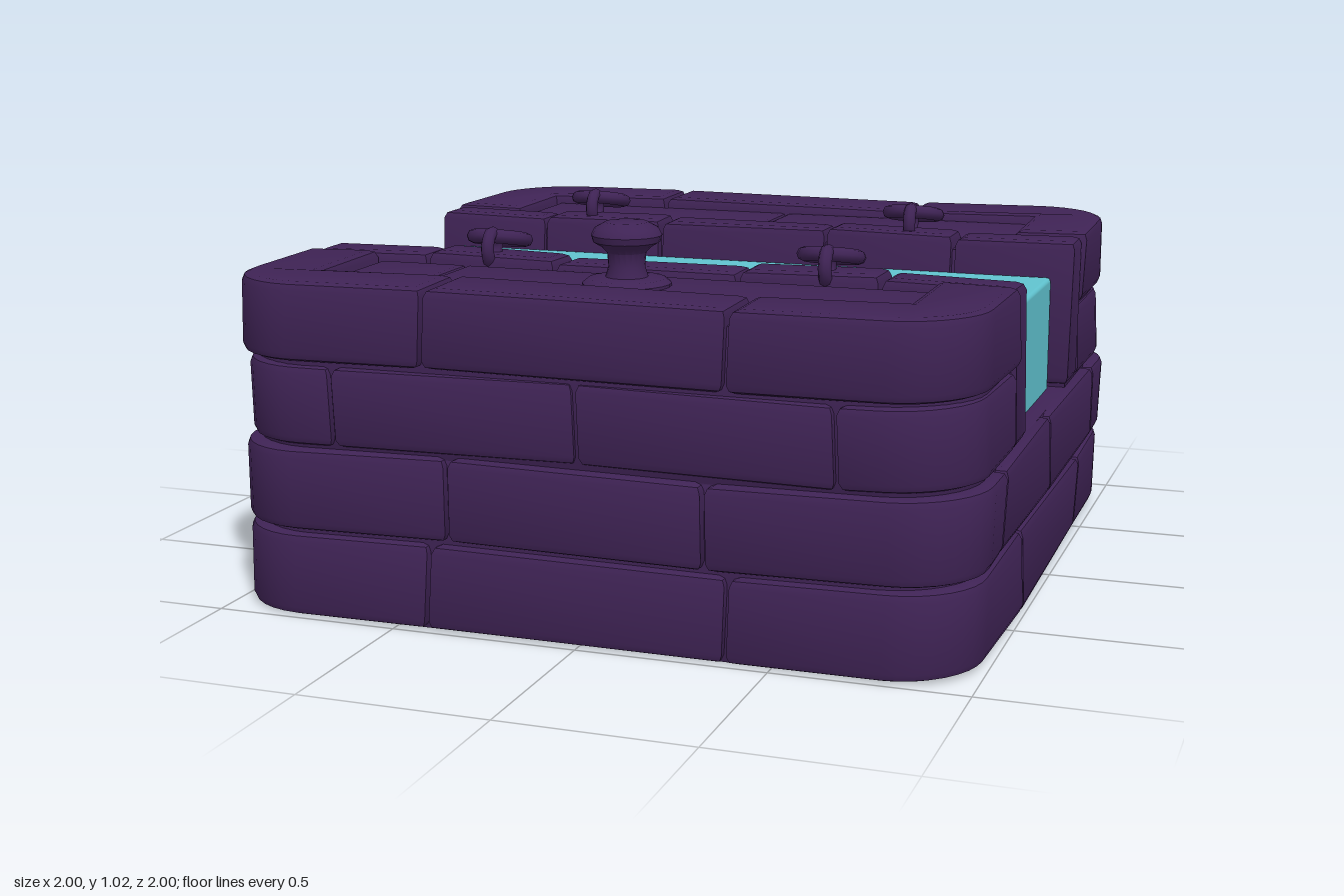
import * as THREE from 'three';
import { toCreasedNormals } from 'three/addons/utils/BufferGeometryUtils.js';
import { RoundedBoxGeometry } from 'three/addons/geometries/RoundedBoxGeometry.js';

const stone = new THREE.MeshStandardMaterial({ color: 0x3f2355 });
stone.name = 'purple stone';
const water = new THREE.MeshStandardMaterial({ color: 0x60c3cf });
water.name = 'turquoise water';

const GAP = 0.006;   // half of a joint between stones
const THICK = 0.21;  // depth of the outer stones

function add(parent, name, geometry, material = stone) {
  const mesh = new THREE.Mesh(geometry, material);
  mesh.name = name;
  parent.add(mesh);
  return mesh;
}

// Bevelled stone from a plan outline of [x, z] points, with slightly uneven faces
function slab(points, y0, y1, bevel = 0.022, uneven = 0.006) {
  const shape = new THREE.Shape(points.map(([x, z]) => new THREE.Vector2(x, -z)));
  const geometry = new THREE.ExtrudeGeometry(shape, {
    depth: y1 - y0 - 2 * bevel, bevelEnabled: bevel > 0, bevelThickness: bevel,
    bevelSize: bevel, bevelOffset: -bevel, bevelSegments: 2,
  });
  geometry.rotateX(-Math.PI / 2).translate(0, y0 + bevel, 0);
  const p = geometry.attributes.position;
  for (let i = 0; i < p.count; i++) {
    const x = p.getX(i), y = p.getY(i), z = p.getZ(i);
    p.setXYZ(i,
      x + uneven * Math.sin(9 * y + 4 * z + 1),
      Math.max(0, y + uneven * 0.7 * Math.sin(5 * x - 4 * z)),
      z + uneven * Math.sin(8 * y - 5 * x));
  }
  return toCreasedNormals(geometry, 0.6);
}

const rect = (x0, x1, z0, z1) => [[x0, z0], [x1, z0], [x1, z1], [x0, z1]];

// Quarter-round outline of one outer corner
function arc(w, r, sx, sz) {
  return Array.from({ length: 9 }, (_, i) => {
    const t = Math.PI / 2 * (1 - i / 8);
    return [sx * (w - r + r * Math.cos(t)), sz * (w - r + r * Math.sin(t))];
  });
}

// L-shaped stone that wraps a corner, reaching to joints a (in x) and b (in z)
function cornerOutline(w, a, b, sx, sz) {
  const n = w - THICK;
  return [[sx * a, sz * w], ...arc(w, 0.21, sx, sz), [sx * w, sz * b],
    [sx * n, sz * b], [sx * n, sz * n], [sx * a, sz * n]];
}

// One course of stones; open courses leave the sides free for the channel
function course(parent, { y0, y1, w, xs, zs, open }) {
  const n = w - THICK;
  for (const sx of [-1, 1]) for (const sz of [-1, 1]) {
    const a = Math.abs(sx < 0 ? xs[0] : xs.at(-1)) + GAP;
    const b = Math.abs(sz < 0 ? zs[0] : zs.at(-1)) + GAP;
    add(parent, 'cornerStone', slab(cornerOutline(w, a, b, sx, sz), y0, y1));
  }
  for (const s of [-1, 1]) {
    const near = Math.min(s * n, s * w), far = Math.max(s * n, s * w);
    for (let i = 0; i + 1 < xs.length; i++)
      add(parent, 'wallStone', slab(rect(xs[i] + GAP, xs[i + 1] - GAP, near, far), y0, y1));
    if (open) continue;
    for (let i = 0; i + 1 < zs.length; i++)
      add(parent, 'sideStone', slab(rect(near, far, zs[i] + GAP, zs[i + 1] - GAP), y0, y1));
  }
}

// Iron ring lying aslant through an upright staple
function mooringRing(parent, x, z) {
  const group = new THREE.Group();
  group.name = 'mooringRing';
  const ring = add(group, 'ring', new THREE.TorusGeometry(0.072, 0.019, 8, 20));
  ring.rotation.x = -Math.PI / 2 - 0.22;
  ring.rotation.x = Math.PI / 2 - 0.22;
  ring.position.set(-0.01, 0.914, -0.08);
  const staple = add(group, 'staple', new THREE.TorusGeometry(0.04, 0.018, 8, 14));
  staple.rotation.set(0, Math.PI / 2 + 0.12, 0);
  staple.position.set(0, 0.898, -0.005);
  group.position.set(x, 0, z);
  parent.add(group);
}

export function createModel() {
  const model = new THREE.Group();
  model.name = 'stoneWaterChannel';

  // Solid core behind the joints
  const core = 0.965;
  add(model, 'lowerCore', slab([
    ...arc(core, 0.21, 1, 1), ...arc(core, 0.21, 1, -1).reverse(),
    ...arc(core, 0.21, -1, -1), ...arc(core, 0.21, -1, 1).reverse(),
  ], 0, 0.45, 0.004, 0));
  for (const s of [-1, 1]) {
    add(model, 'upperCore', slab([
      ...arc(core, 0.21, 1, s), [core, s * 0.35], [-core, s * 0.35], ...arc(core, 0.21, -1, s).reverse(),
    ], 0.44, 0.835, 0.004, 0));
  }

  // Four courses of outer stones
  const courses = [
    { y0: 0.004, y1: 0.225, w: 0.992, xs: [-0.4, 0.39], zs: [-0.45, 0.35] },
    { y0: 0.235, y1: 0.452, w: 0.994, xs: [-0.35, 0.33], zs: [-0.64, 0, 0.64] },
    { y0: 0.46, y1: 0.668, w: 0.98, xs: [-0.66, 0, 0.66], zs: [-0.475, 0.475], open: true },
    { y0: 0.678, y1: 0.882, w: 0.992, xs: [-0.4, 0.39], zs: [-0.465, 0.465], open: true },
  ];
  courses.forEach((c) => course(model, c));

  // Sunken paving on both banks
  const paving = [[-0.78, 0, -1], [0, 0.77, -1], [-0.78, -0.52, 1], [-0.52, 0.77, 1]];
  for (const [x0, x1, s] of paving) {
    const z = [s * 0.465, s * 0.79].sort((a, b) => a - b);
    add(model, 'pavingStone', slab(rect(x0 + 0.003, x1 - 0.003, z[0], z[1]), 0.8, 0.853, 0.012, 0.003));
  }

  // Upright stones lining the channel
  const joints = [-0.985, -0.635, -0.26, 0.25, 0.63, 0.985];
  for (const s of [-1, 1]) for (let i = 0; i < 5; i++) {
    const inner = i % 2 ? 0.325 : 0.332;
    const z = [s * inner, s * 0.46].sort((a, b) => a - b);
    add(model, 'channelStone',
      slab(rect(joints[i] + GAP, joints[i + 1] - GAP, z[0], z[1]), 0.46, 0.875 + (i % 2) * 0.007));
  }

  // Water filling the channel
  const pool = add(model, 'water', new RoundedBoxGeometry(1.84, 0.33, 0.668, 2, 0.012), water);
  pool.position.set(0, 0.607, 0);

  // Mooring rings
  mooringRing(model, -0.5, -0.405);
  mooringRing(model, 0.49, -0.405);
  mooringRing(model, -0.465, 0.43);
  mooringRing(model, 0.475, 0.43);

  // Bollard with a flange, a waisted post and a wide cap
  const profile = [[0, 0.84], [0.115, 0.84], [0.115, 0.862], [0.1, 0.874], [0.055, 0.878], [0.047, 0.905],
    [0.05, 0.94], [0.066, 0.956], [0.086, 0.968], [0.091, 0.985], [0.082, 1.003], [0.055, 1.018], [0, 1.021]];
  const lathe = new THREE.LatheGeometry(profile.map(([r, y]) => new THREE.Vector2(r, y)), 20);
  const bollard = add(model, 'bollard', toCreasedNormals(lathe, 0.7));
  bollard.position.set(0, 0, 0.62);

  return model;
}
